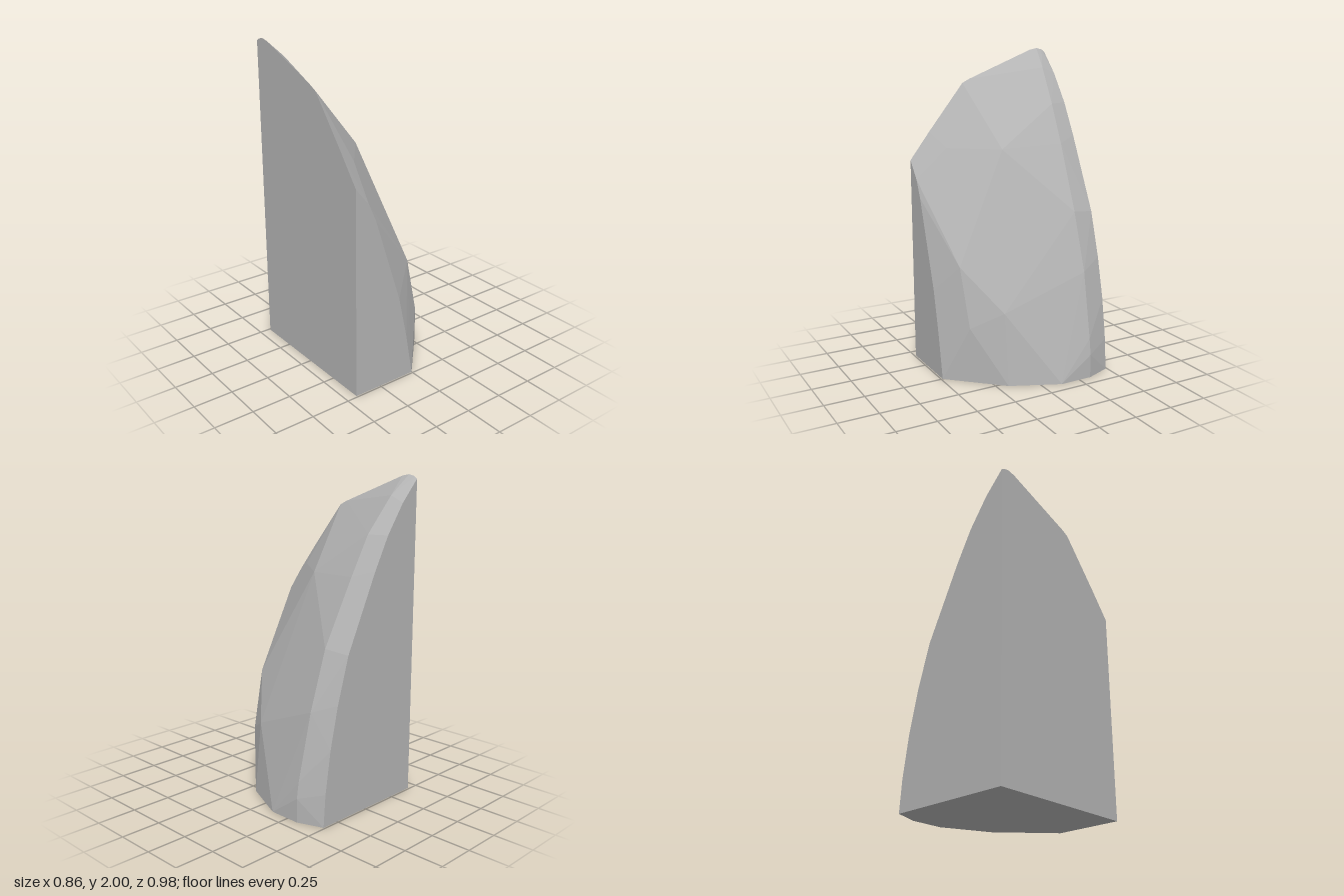
import * as THREE from 'three';
import { ConvexGeometry } from 'three/addons/geometries/ConvexGeometry.js';

const LEFT = -0.43, FRONT = 0.49, BACK = -0.49;

export function createModel() {
  const stone = new THREE.MeshStandardMaterial({ color: 0xb4b4b4, flatShading: true });
  stone.name = 'stone grey';

  // Flat underside: [x, z]
  const base = [[LEFT, BACK], [0.365, BACK], [0.425, -0.33], [0.425, -0.12],
    [0.29, 0.18], [0, FRONT], [LEFT, FRONT]];
  // Top edge of the flat cut side: [z, y]
  const sideCut = [[0.49, 1.32], [0.36, 1.49], [0.12, 1.79], [0.07, 1.815],
    [-0.38, 1.99], [-0.43, 2], [-0.47, 1.99], [BACK, 1.975]];
  // Curved edge of the flat back: [x, y]
  const backCut = [[-0.3, 1.84], [-0.17, 1.66], [-0.06, 1.46], [0.165, 1],
    [0.25, 0.72], [0.31, 0.46], [0.35, 0.2]];
  // Curved edge of the flat front: [x, y]
  const frontCut = [[-0.34, 1.21], [-0.29, 1.1], [-0.11, 0.55], [-0.05, 0.28]];
  // Ridge points of the chipped outer face: [x, y, z]
  const outer = [[-0.3, 1.88, -0.4], [-0.13, 1.66, -0.37], [0, 1.42, -0.36],
    [0.2, 1.02, -0.34], [0.32, 0.66, -0.34], [0.41, 0.25, -0.33], [0.425, 0.15, -0.33],
    [-0.08, 1.4, 0.02], [0.04, 0.72, 0.38], [0.24, 0.45, 0.18],
    [0.13, 0.35, 0.36], [-0.3, 1.4, 0.3]];

  const points = [
    ...base.map(([x, z]) => new THREE.Vector3(x, 0, z)),
    ...sideCut.map(([z, y]) => new THREE.Vector3(LEFT, y, z)),
    ...backCut.map(([x, y]) => new THREE.Vector3(x, y, BACK)),
    ...frontCut.map(([x, y]) => new THREE.Vector3(x, y, FRONT)),
    ...outer.map((p) => new THREE.Vector3(...p)),
  ];

  // Quarter boulder: two cut planes, a flat base and a faceted outer face
  const rock = new THREE.Mesh(new ConvexGeometry(points), stone);
  rock.name = 'rock';

  const group = new THREE.Group();
  group.name = 'rockPiece';
  group.add(rock);
  return group;
}
